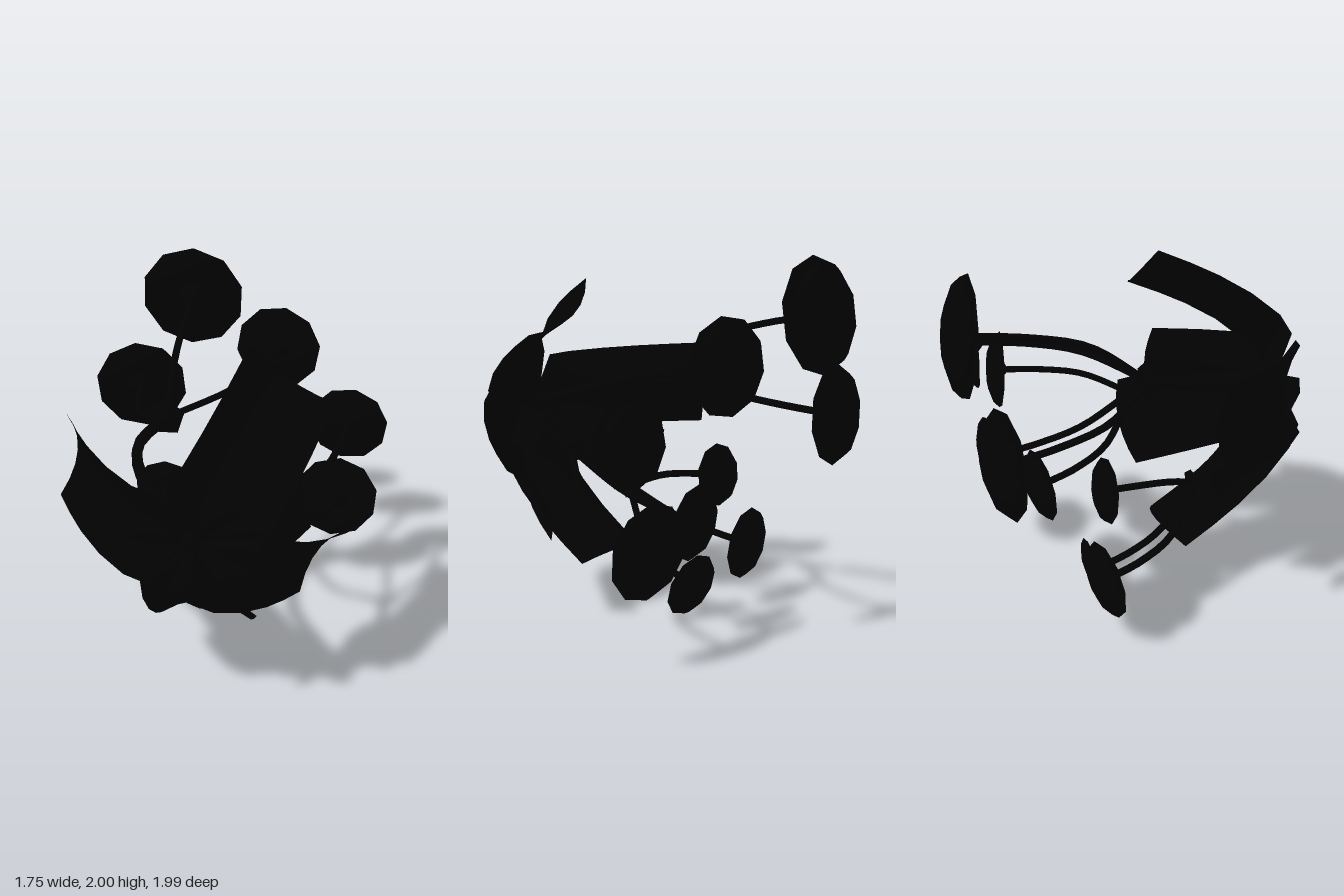
import * as THREE from 'three';

const UP = new THREE.Vector3(0, 1, 0);
const V = (x, y, z) => new THREE.Vector3(x, y, z);
const black = new THREE.MeshStandardMaterial({ color: 0x020202, side: THREE.DoubleSide });
black.name = 'black';

// Centre of the flower, where all petals meet
const CX = -0.03, CY = 1.13, CZ = 0.92;

// Midline of a petal as [radius, z], from the base to the tip
const MIDLINE = [[0, 0.92], [0.09, 0.92], [0.18, 0.91], [0.3, 0.86], [0.45, 0.72], [0.58, 0.55], [0.67, 0.4], [0.76, 0.23]];

function mesh(name, geometry, parent) {
  const m = new THREE.Mesh(geometry, black);
  m.name = name;
  parent.add(m);
  return m;
}

// Cupped petal sheet: the edges bend outward from the midline
function petal(name, degrees, reach, width, depth, parent) {
  const rows = MIDLINE.length - 1, cols = 6;
  const geo = new THREE.PlaneGeometry(1, 1, cols, rows);
  const pos = geo.attributes.position;
  const angle = THREE.MathUtils.degToRad(degrees);
  const c = Math.cos(angle), s = Math.sin(angle);
  for (let j = 0; j <= rows; j++) {
    const [r0, z0] = MIDLINE[j];
    const w = width * Math.min(1, 0.12 + r0 / 0.2);
    for (let i = 0; i <= cols; i++) {
      const u = (i / cols) * 2 - 1;
      const r = r0 * reach + 0.06 * (j / rows) * u * u;
      const z = CZ - (CZ - z0) * depth + 0.075 * u * u * Math.min(1, 0.2 + r0 * 4);
      const side = (u * w) / 2;
      pos.setXYZ(j * (cols + 1) + i, CX + c * r - s * side, CY + s * r + c * side, z);
    }
  }
  geo.computeVertexNormals();
  mesh(name, geo, parent);
}

function stem(name, points, radius, parent) {
  mesh(name, new THREE.TubeGeometry(new THREE.CatmullRomCurve3(points), 12, radius, 6), parent);
}

// Turned part whose axis points along dir
function turned(name, profile, sides, at, dir, parent) {
  const points = profile.map(([x, y]) => new THREE.Vector2(x, y));
  const m = mesh(name, new THREE.LatheGeometry(points, sides), parent);
  m.position.copy(at);
  m.quaternion.setFromUnitVectors(UP, dir.clone().normalize());
}

// Point on a branch: it spreads sideways early, then runs back to its cap
function along(joint, end, spread, run) {
  const p = joint.clone().lerp(end, spread);
  p.z = THREE.MathUtils.lerp(joint.z, end.z, run);
  return p;
}

// Branch ending in a domed cap with a flared collar; dir is the cap's axis
function cappedBranch(joint, end, r, dir, parent) {
  stem('branch', [joint, along(joint, end, 0.62, 0.33), along(joint, end, 0.86, 0.65), end], 0.02, parent);
  turned('cap', [[0, 0], [r, 0], [0.86 * r, 0.15 * r], [0.5 * r, 0.29 * r], [0, 0.35 * r]], 10, end, dir, parent);
  turned('capCollar', [[0.02, -0.04], [0.1 * r + 0.02, -0.02], [0.32 * r, 0.002]], 6, end, dir, parent);
}

// Trunk from the flower's base to a star-shaped node
function trunk(bends, joint, radius, leaf, model) {
  const sprig = new THREE.Group();
  sprig.name = 'sprig';
  model.add(sprig);
  stem('trunk', [V(CX, CY, CZ), ...bends, joint], radius, sprig);
  turned('nodeLeaves', [[0.02, -0.05], [0.035, -0.02], [leaf, 0.015], [0.03, 0.012], [0, 0.04]], 5, joint, V(0, 0, -1), sprig);
  return sprig;
}

export function createModel() {
  const model = new THREE.Group();
  model.name = 'flower';

  // Four large petals and two smaller inner ones
  petal('outerPetal', 56, 0.88, 0.51, 1, model);
  petal('outerPetal', 173, 0.95, 0.49, 1, model);
  petal('outerPetal', 270, 1.03, 0.5, 1, model);
  petal('outerPetal', 325, 0.94, 0.53, 1, model);
  petal('innerPetal', 0, 0.62, 0.36, 0.83, model);
  petal('innerPetal', 215, 0.7, 0.36, 0.83, model);

  // Small knob at the base of the flower
  turned('baseKnob', [[0, -0.06], [0.05, -0.04], [0.04, 0.05], [0, 0.06]], 6, V(-0.04, 1.14, 0.935), V(0, 0, 1), model);

  // Tall sprig
  const top = V(-0.31, 1.34, 0.05);
  const tall = trunk([V(-0.34, 1.25, 0.55), V(-0.4, 1.31, 0.32)], top, 0.03, 0.11, model);
  cappedBranch(top, V(-0.295, 1.7, -0.885), 0.305, V(0.05, 0.12, -1), tall);
  cappedBranch(top, V(-0.605, 1.155, -0.8), 0.275, V(-0.11, 0.03, -1), tall);
  cappedBranch(top, V(0.23, 1.47, -0.71), 0.25, V(0.17, 0, -1), tall);

  // Left sprig
  const mid = V(0.37, 0.98, 0.23);
  const left = trunk([V(0.26, 1.06, 0.55)], mid, 0.025, 0.085, model);
  cappedBranch(mid, V(0.61, 0.595, -0.545), 0.25, V(0.06, -0.12, -1), left);
  cappedBranch(mid, V(0.66, 1.12, -0.47), 0.225, V(0.15, 0.07, -1), left);
  cappedBranch(mid, V(0.105, 0.625, -0.41), 0.208, V(-0.1, -0.1, -1), left);

  // Low sprig
  const base = V(-0.23, 0.66, 0.36);
  const low = trunk([V(-0.16, 0.82, 0.6)], base, 0.025, 0.08, model);
  cappedBranch(base, V(-0.54, 0.36, -0.27), 0.21, V(-0.13, -0.1, -1), low);
  cappedBranch(base, V(-0.155, 0.18, -0.18), 0.188, V(0.03, -0.28, -1), low);
  cappedBranch(base, V(-0.36, 0.78, -0.2), 0.178, V(0, 0.07, -1), low);

  return model;
}
